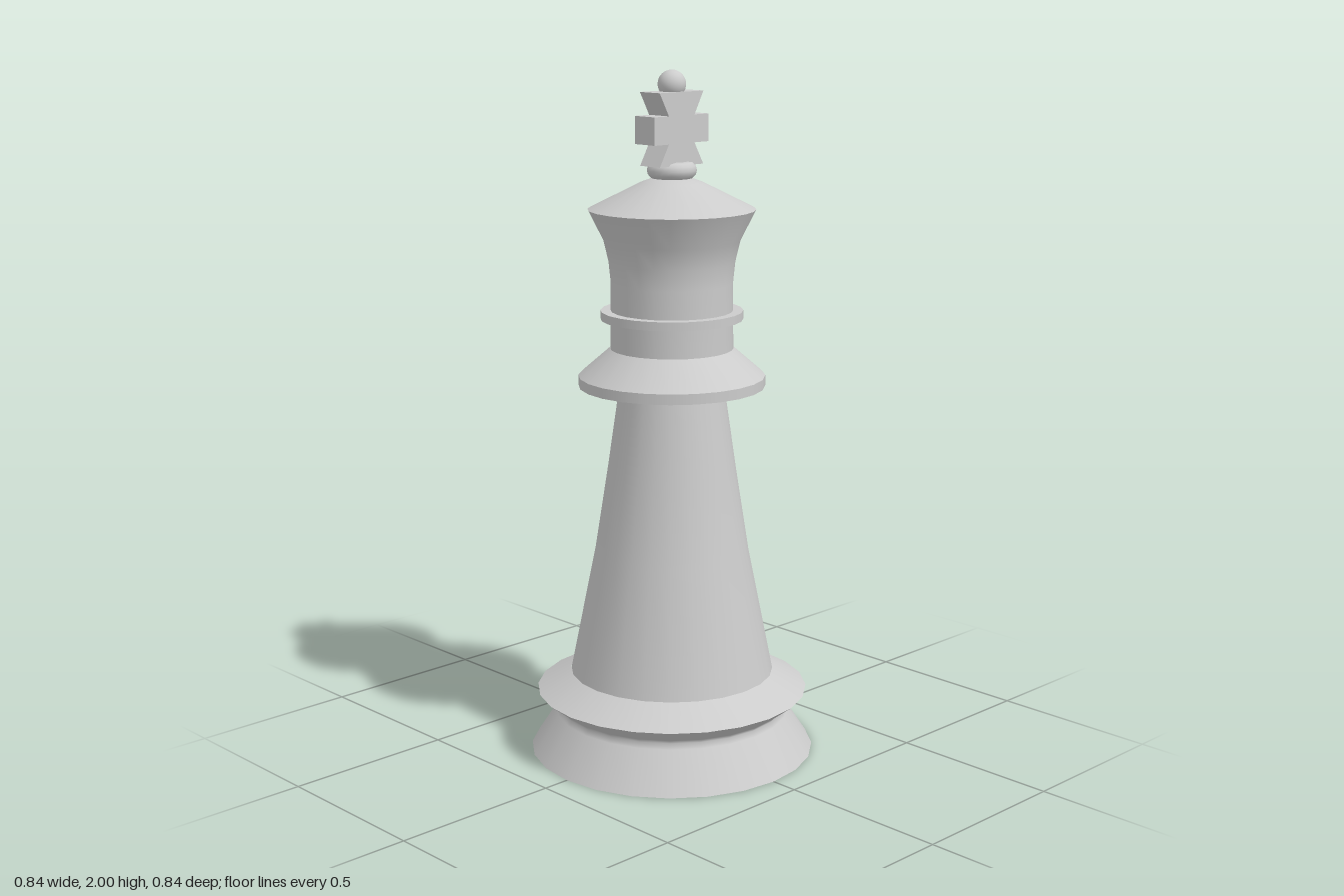
import * as THREE from 'three';

const SIDES = 24;

export function createModel() {
  const model = new THREE.Group();
  const material = new THREE.MeshStandardMaterial({ color: 0xcccccc });

  const add = (parent, name, geometry, y = 0) => {
    const mesh = new THREE.Mesh(geometry, material);
    mesh.name = name;
    mesh.position.y = y;
    parent.add(mesh);
    return mesh;
  };

  // Turned part made of smooth runs of [radius, height]; edges between runs stay sharp
  const turned = (name, ...runs) => {
    const part = new THREE.Group();
    part.name = name;
    runs.forEach((run, i) => {
      const points = run.map(([r, y]) => new THREE.Vector2(r, y));
      add(part, `${name}Surface${i + 1}`, new THREE.LatheGeometry(points, SIDES));
    });
    model.add(part);
  };

  // Flared foot with a pinched waist and a sloping shoulder
  turned('base',
    [[0, 0], [0.42, 0]],
    [[0.42, 0], [0.345, 0.115], [0.335, 0.13], [0.345, 0.142], [0.4, 0.185]],
    [[0.4, 0.185], [0.3, 0.24]]);

  // Tapering body
  turned('shaft', [[0.3, 0.235], [0.225, 0.61], [0.186, 0.86], [0.15, 1.11]]);

  // Wide collar with a sloping top
  turned('collar',
    [[0.14, 1.1], [0.27, 1.1]],
    [[0.27, 1.1], [0.27, 1.13]],
    [[0.27, 1.13], [0.178, 1.21]]);

  // Thin ring around the neck
  turned('neckRing',
    [[0.17, 1.295], [0.205, 1.295]],
    [[0.205, 1.295], [0.205, 1.32]],
    [[0.205, 1.32], [0.17, 1.32]]);

  // Straight neck opening into the head, closed by a shallow cap
  turned('head',
    [[0.177, 1.2], [0.175, 1.4], [0.181, 1.46], [0.195, 1.52], [0.24, 1.61]],
    [[0.24, 1.61], [0.09, 1.685], [0.05, 1.7], [0, 1.705]]);

  // Small cushion under the cross
  const cushion = new THREE.TorusGeometry(0.046, 0.025, 12, SIDES);
  cushion.rotateX(Math.PI / 2);
  add(model, 'cushion', cushion, 1.72);

  // Cross with splayed upright and straight arms
  const right = [[0.085, 1.735], [0.05, 1.797], [0.105, 1.797],
    [0.105, 1.875], [0.05, 1.875], [0.085, 1.94]];
  const left = right.map(([x, y]) => [-x, y]).reverse();
  const outline = new THREE.Shape([...right, ...left].map(([x, y]) => new THREE.Vector2(x, y)));
  const cross = new THREE.ExtrudeGeometry(outline, { depth: 0.08, bevelEnabled: false });
  cross.translate(0, 0, -0.04);
  add(model, 'cross', cross);

  // Ball on top
  add(model, 'finial', new THREE.SphereGeometry(0.04, SIDES, 16), 1.96);

  return model;
}
